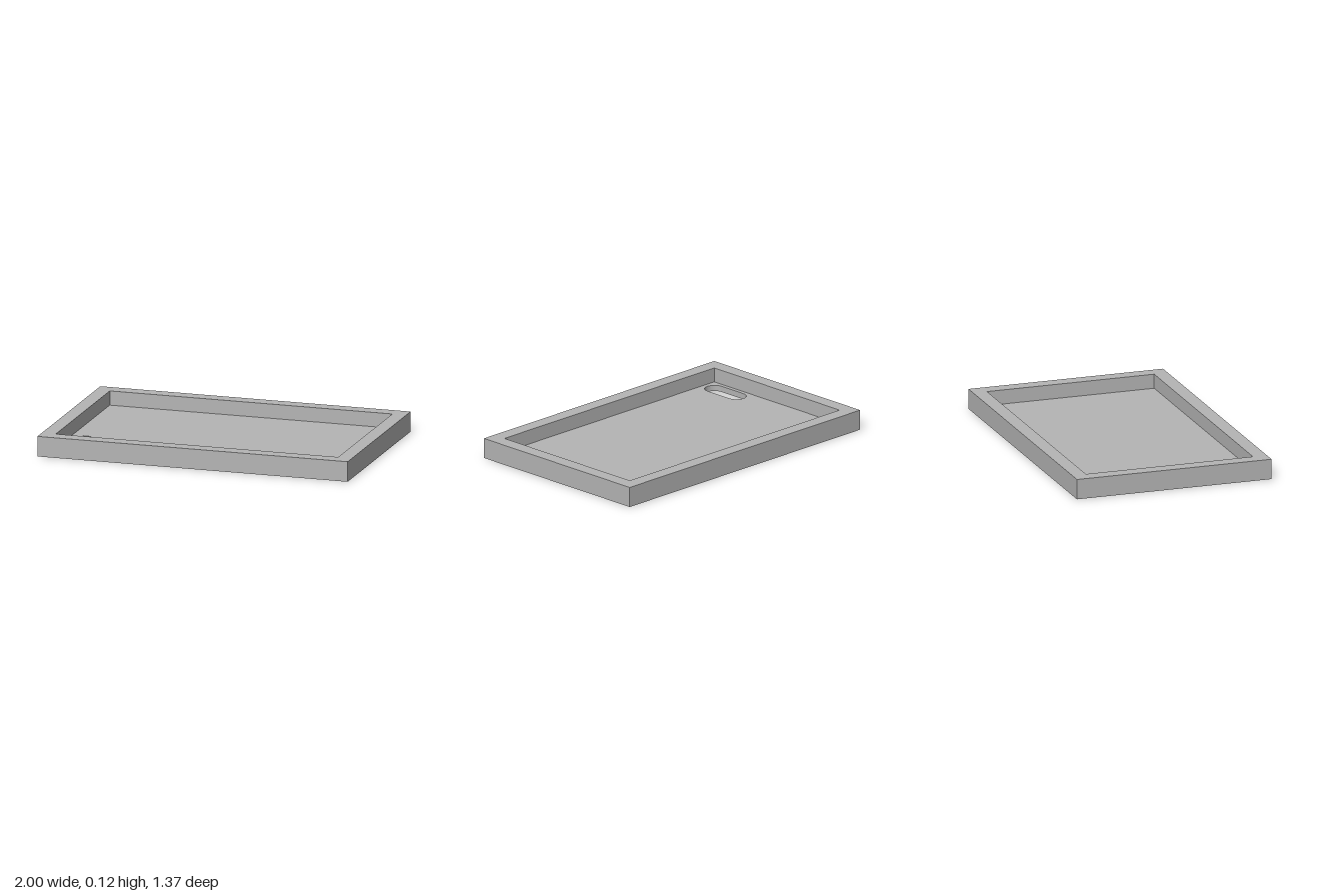
import * as THREE from 'three';
import { toCreasedNormals } from 'three/addons/utils/BufferGeometryUtils.js';

const WIDTH = 1.902, DEPTH = 1.205, HEIGHT = 0.121;
const WALL = 0.085, FLOOR = 0.035;

// Trace a centred rectangle on a shape or path
function rectangle(path, w, d) {
  path.moveTo(-w / 2, -d / 2);
  path.lineTo(w / 2, -d / 2);
  path.lineTo(w / 2, d / 2);
  path.lineTo(-w / 2, d / 2);
  path.closePath();
  return path;
}

// Upright slot with round ends
function slot(x, y, radius, straight) {
  const path = new THREE.Path();
  path.absarc(x, y + straight / 2, radius, 0, Math.PI, false);
  path.absarc(x, y - straight / 2, radius, Math.PI, Math.PI * 2, false);
  path.closePath();
  return path;
}

// Extrude a plan shape upwards from height y
function slab(name, shape, y, height, material) {
  const extruded = new THREE.ExtrudeGeometry(shape, { depth: height, bevelEnabled: false, curveSegments: 16 });
  extruded.rotateX(-Math.PI / 2);
  const mesh = new THREE.Mesh(toCreasedNormals(extruded, Math.PI / 6), material);
  mesh.name = name;
  mesh.position.y = y;
  return mesh;
}

export function createModel() {
  const grey = new THREE.MeshStandardMaterial({ color: 0xb4b4b4 });
  grey.name = 'grey';

  // Floor plate with the slot near the front corner
  const floor = rectangle(new THREE.Shape(), WIDTH, DEPTH);
  floor.holes.push(slot(-0.783, -0.342, 0.058, 0.18));

  // Raised rim around the edge
  const rim = rectangle(new THREE.Shape(), WIDTH, DEPTH);
  rim.holes.push(rectangle(new THREE.Path(), WIDTH - 2 * WALL, DEPTH - 2 * WALL));

  // The tray sits turned slightly about the vertical
  const tray = new THREE.Group();
  tray.name = 'tray';
  tray.rotation.y = -THREE.MathUtils.degToRad(5);
  tray.add(
    slab('floorPlate', floor, 0, FLOOR, grey),
    slab('rim', rim, FLOOR, HEIGHT - FLOOR, grey),
  );

  const model = new THREE.Group();
  model.name = 'slottedTray';
  model.add(tray);
  return model;
}
